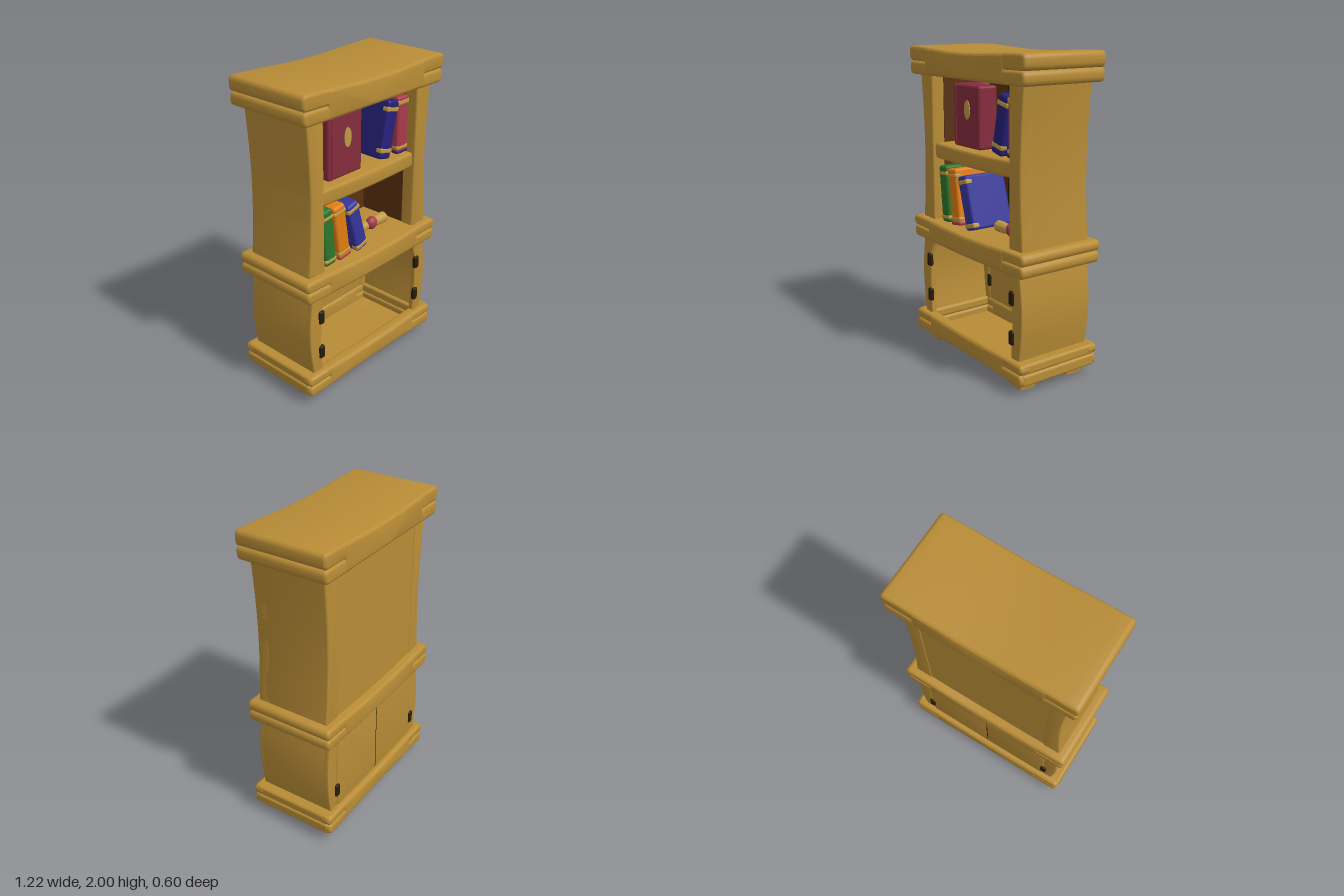
import * as THREE from 'three';
import { toCreasedNormals } from 'three/addons/utils/BufferGeometryUtils.js';
import { RoundedBoxGeometry } from 'three/addons/geometries/RoundedBoxGeometry.js';

const mat = (name, color) => {
  const m = new THREE.MeshStandardMaterial({ color });
  m.name = name;
  return m;
};

export function createModel() {
  const root = new THREE.Group();
  root.name = 'bookcase';
  const wood = mat('honey wood', 0xb88c36), brown = mat('dark brown', 0x5a3212);
  const iron = mat('dark iron', 0x261c0c), crimson = mat('crimson', 0x842c3c);
  const rose = mat('rose', 0xa83a4c), green = mat('green', 0x2e7429);
  const orange = mat('orange', 0xe27c12), blue = mat('blue', 0x35359a);
  const navy = mat('navy', 0x27217a), gold = mat('pale gold', 0xc09a44);

  const add = (name, geo, m, x = 0, y = 0, z = 0, parent = root) => {
    const mesh = new THREE.Mesh(geo, m);
    mesh.name = name;
    mesh.position.set(x, y, z);
    parent.add(mesh);
    return mesh;
  };
  const box = (w, h, d, r = 0.01) => new RoundedBoxGeometry(w, h, d, 2, r);

  // Outline extruded from z0 to z1 with softened edges
  const slice = (pts, z0, z1, b = 0.01) => {
    const shape = new THREE.Shape(pts.map(([x, y]) => new THREE.Vector2(x, y)));
    const g = new THREE.ExtrudeGeometry(shape, {
      depth: z1 - z0 - 2 * b, bevelEnabled: true, bevelThickness: b,
      bevelSize: b, bevelOffset: -b, bevelSegments: 3,
    });
    g.translate(0, 0, z0 + b);
    return toCreasedNormals(g, 0.7);
  };

  // Sagging bar with rounded ends
  const sag = (x, s) => s * (Math.cos(Math.PI * Math.min(1, Math.abs(x) / 0.6)) + 1) / 2;
  const bar = (x0, x1, y0, y1, z0, z1, s0, s1, r = 0.03, b = 0.018) => {
    const xs = [], top = [], bottom = [];
    for (const f of [0, 0.12, 0.4, 0.7]) xs.push(x0 + f * r);
    for (let i = 0; i <= 24; i++) xs.push(x0 + r + (x1 - x0 - 2 * r) * i / 24);
    for (const f of [0.7, 0.4, 0.12, 0]) xs.push(x1 - f * r);
    for (const x of xs) {
      const d = Math.max(0, r - Math.min(x - x0, x1 - x));
      const inset = r - Math.sqrt(Math.max(0, r * r - d * d));
      bottom.push([x, y0 + inset - sag(x, s0)]);
      top.unshift([x, y1 - inset - sag(x, s1)]);
    }
    return slice([...bottom, ...top], z0, z1, b);
  };

  // Two stacked boards whose joint closes up in the middle
  const boards = (name, hw, y0, ym, y1, z0, z1, s0, s1) => {
    const g = new THREE.Group();
    g.name = name;
    root.add(g);
    const sm = (s0 + s1) / 2;
    add('lowerBoard', bar(-hw + 0.005, hw - 0.005, y0, ym, z0, z1, s0, sm), wood, 0, 0, 0, g);
    add('upperBoard', bar(-hw, hw, ym, y1, z0, z1, sm, s1), wood, 0, 0, 0, g);
    add('joinedMiddle', bar(-0.42, 0.42, y0 + 0.003, y1 - 0.003, z0 - 0.002, z1 + 0.002, s0, s1, 0.02), wood, 0, 0, 0, g);
  };
  boards('crown', 0.61, 1.82, 1.905, 2.0, -0.3, 0.298, 0, 0.02);
  boards('waist', 0.605, 0.73, 0.805, 0.875, -0.3, 0.298, 0.008, 0.018);

  // Hollow base
  boards('baseFront', 0.6, 0.06, 0.135, 0.2, 0.22, 0.3, -0.01, 0.008);
  boards('baseBack', 0.6, 0.06, 0.135, 0.2, -0.3, -0.22, -0.01, 0.008);
  for (const s of [-1, 1]) {
    for (const [y, h] of [[0.0975, 0.075], [0.1675, 0.065]])
      add('baseSide', box(0.12, h, 0.56, 0.018), wood, s * 0.537, y, 0);
  }
  add('baseFloor', box(1.1, 0.02, 0.54, 0.005), wood, 0, 0.08, 0);

  // Tapered feet
  for (const s of [-1, 1]) for (const z of [-0.24, 0.12]) {
    const foot = slice([[0.4, 0], [0.52, 0], [0.53, 0.09], [0.34, 0.09]].map(([x, y]) => [s * x, y])
      .sort(() => 0), z, z + 0.12, 0.012);
    add('foot', foot, wood);
  }

  // Side outlines: bulging below, waisted above
  const lowW = y => 0.53 + 0.026 * Math.sin(Math.PI * (y - 0.2) / 0.53);
  const highW = y => 0.545 - 0.025 * Math.sin(Math.PI * (y - 0.87) / 0.95);
  const edge = (f, y0, y1, n = 12) =>
    Array.from({ length: n + 1 }, (_, i) => y0 + (y1 - y0) * i / n).map(y => [f(y), y]);
  const mirror = (pts, s) => pts.map(([x, y]) => [s * x, y]);
  const arch = [[0.45, 0.18], [0.46, 0.4], [0.455, 0.55], [0.445, 0.64], [0.425, 0.7], [0.4, 0.745]];

  for (const s of [-1, 1]) {
    const side = s > 0 ? 'left' : 'right';
    const outer = edge(lowW, 0.18, 0.745);
    // Lower cabinet: open in front, doors at the back
    add(side + 'CabinetSide', slice([...outer, ...edge(y => lowW(y) - 0.03, 0.745, 0.18)].map(([x, y]) => [s * x, y]), -0.255, 0.255, 0.008), wood);
    const stile = mirror([...outer, ...[...arch].reverse()], s);
    add(side + 'FrontStile', slice(stile, 0.225, 0.262, 0.008), wood);
    add(side + 'BackStile', slice(stile, -0.262, -0.225, 0.008), wood);
    const door = [[0.001, 0.18], ...arch.map(([x, y]) => [x + 0.002, y]), [0.001, 0.745]];
    add(side + 'BackDoor', slice(mirror(door, s), -0.266, -0.23, 0.006), wood);
    for (const y of [0.33, 0.58])
      add(side + 'FrontHinge', box(0.042, 0.09, 0.03, 0.012), iron, s * 0.462, y, 0.262);
    add(side + 'BackHinge', box(0.042, 0.09, 0.06, 0.012), iron, s * 0.462, 0.33, -0.248);

    // Upper case side, front post and lining
    const high = edge(highW, 0.85, 1.84);
    add(side + 'CaseSide', slice(mirror([...high, [0.425, 1.84], [0.425, 0.85]], s), -0.25, 0.24, 0.01), wood);
    add(side + 'Post', slice(mirror([...high, [0.412, 1.84], [0.412, 0.85]], s), 0.16, 0.252, 0.012), wood);
    add(side + 'Lining', new THREE.BoxGeometry(0.008, 0.96, 0.34), brown, s * 0.421, 1.345, -0.01);
  }
  add('doorSeam', new THREE.BoxGeometry(0.006, 0.52, 0.034), iron, 0, 0.46, -0.248);
  add('caseBack', box(1.02, 0.98, 0.06), wood, 0, 1.345, -0.215);
  add('backLining', new THREE.BoxGeometry(0.85, 0.96, 0.008), brown, 0, 1.345, -0.18);
  for (const x of [-0.16, 0.17])
    add('plankSeam', new THREE.BoxGeometry(0.006, 0.95, 0.004), iron, x, 1.345, -0.175);
  add('shelf', bar(-0.42, 0.425, 1.285, 1.388, -0.18, 0.235, 0.008, 0.01), wood);

  // Books: each stands on its lower edge and leans about z
  const book = (name, m, x, y, z, w, h, d, lean, bands) => {
    const g = new THREE.Group();
    g.name = name;
    g.position.set(x, y, z);
    g.rotation.z = lean;
    root.add(g);
    add('cover', box(w, h, d, 0.018), m, 0, h / 2, 0, g);
    for (const [by, bh, bm] of bands)
      add('spineBand', box(w + 0.006, bh, 0.05, 0.012), bm, 0, by, d / 2 - 0.022, g);
    return g;
  };
  book('greenBook', green, -0.32, 0.865, 0.07, 0.092, 0.375, 0.3, 0.1, [[0.035, 0.03, gold], [0.325, 0.03, gold]]);
  book('orangeBook', orange, -0.197, 0.868, 0.07, 0.1, 0.37, 0.3, 0.15, [[0.015, 0.025, rose], [0.045, 0.03, gold], [0.325, 0.03, gold]]);
  book('blueBook', blue, -0.035, 0.87, 0.07, 0.1, 0.35, 0.3, 0.29, [[0.03, 0.035, gold], [0.31, 0.035, gold]]);
  book('navyBook', navy, 0.195, 1.388, 0.05, 0.1, 0.37, 0.28, -0.22, [[0.055, 0.035, gold], [0.315, 0.035, gold]]);
  book('roseBook', rose, 0.363, 1.385, 0.05, 0.1, 0.372, 0.28, 0, [[0.012, 0.022, navy], [0.04, 0.03, gold], [0.335, 0.035, gold]]);
  book('slimBook', crimson, -0.312, 1.383, 0.0, 0.065, 0.385, 0.24, 0, [[0.05, 0.03, gold], [0.345, 0.03, gold]]);

  // Large book showing its cover
  const large = book('largeBook', crimson, -0.145, 1.38, 0.1, 0.29, 0.395, 0.14, 0, []);
  add('coverRidge', box(0.02, 0.38, 0.02, 0.008), crimson, -0.115, 0.197, 0.066, large);
  const oval = add('coverOval', new THREE.CylinderGeometry(0.03, 0.03, 0.008, 24), gold, 0.016, 0.24, 0.071, large);
  oval.rotation.x = Math.PI / 2;
  oval.scale.z = 2;

  // Parchment leaning on the back
  add('parchment', slice([[0.165, 0.92], [0.165, 1.24], [0.03, 1.24], [-0.01, 1.21], [-0.015, 1.15], [0.02, 1.03], [0.06, 0.93]], -0.172, -0.164, 0.002), gold);
  const disc = new THREE.CylinderGeometry(0.105, 0.105, 0.008, 28, 1, false, 0, Math.PI);
  disc.rotateX(Math.PI / 2);
  add('parchmentRound', disc, gold, 0.174, 1.11, -0.17);

  // Rolled scroll with a ribbon and seal
  const scroll = new THREE.Group();
  scroll.name = 'scroll';
  scroll.position.set(0.2, 0.897, 0.06);
  root.add(scroll);
  const roll = new THREE.LatheGeometry([[0, -0.15], [0.036, -0.15], [0.036, -0.1], [0.027, 0], [0.036, 0.1], [0.036, 0.15], [0, 0.15]]
    .map(([x, y]) => new THREE.Vector2(x, y)), 20);
  roll.rotateZ(Math.PI / 2);
  add('roll', toCreasedNormals(roll, 0.7), gold, 0, 0, 0, scroll);
  const seal = add('seal', new THREE.SphereGeometry(0.044, 18, 12), rose, 0.01, 0.01, 0.015, scroll);
  seal.scale.z = 0.8;
  return root;
}
